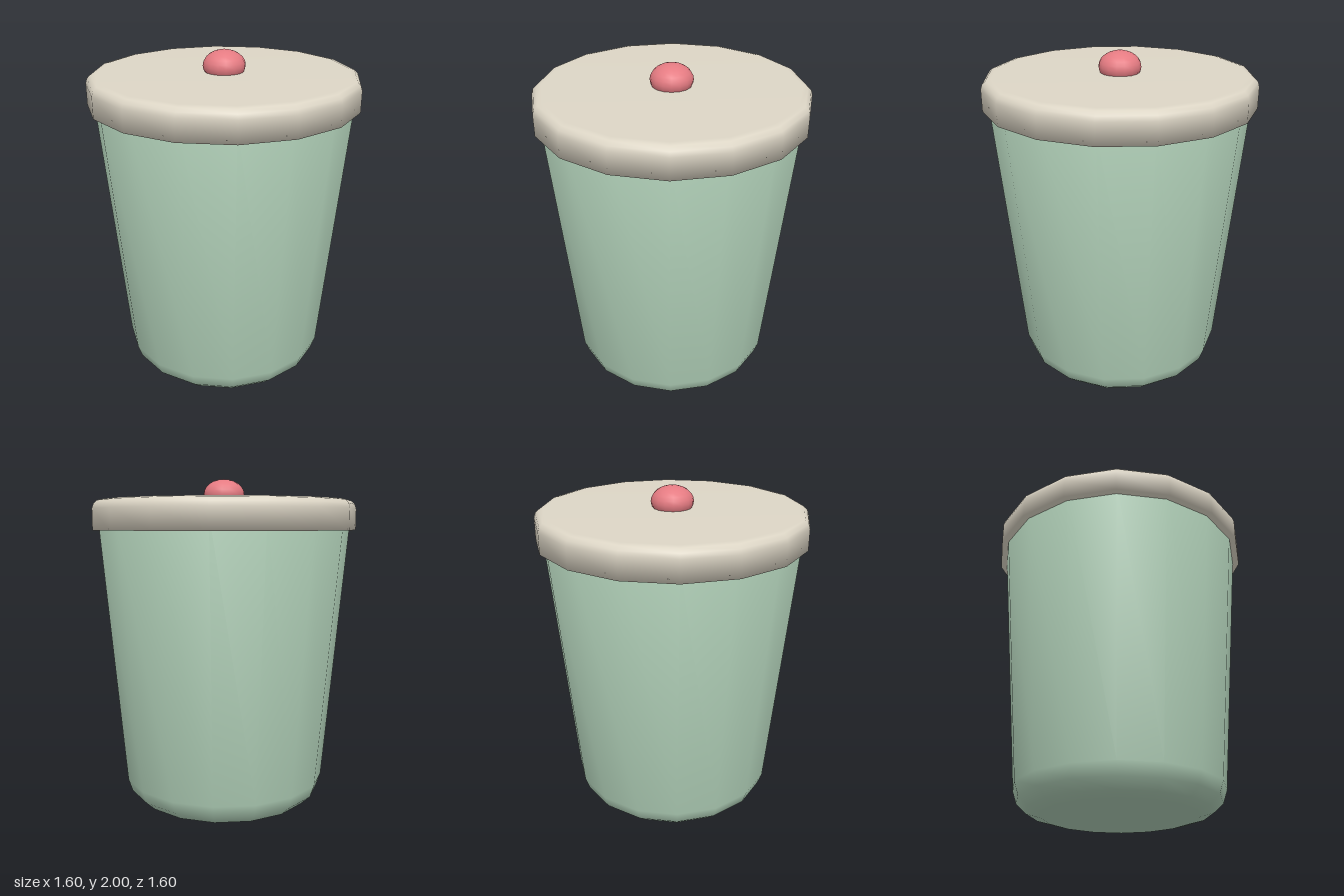
import * as THREE from 'three';
import { mergeVertices } from 'three/addons/utils/BufferGeometryUtils.js';

const SIDES = 16;

// Turned solid with fully smooth, area-weighted normals; profile runs bottom to top
function turned(name, profile, material) {
  const lathe = new THREE.LatheGeometry(profile.map(([r, y]) => new THREE.Vector2(r, y)), SIDES);
  lathe.deleteAttribute('normal');
  lathe.deleteAttribute('uv');
  const geometry = mergeVertices(lathe, 1e-4);
  geometry.computeVertexNormals();
  const mesh = new THREE.Mesh(geometry, material);
  mesh.name = name;
  return mesh;
}

function flat(name, color) {
  const material = new THREE.MeshStandardMaterial({ color });
  material.name = name;
  return material;
}

export function createModel() {
  const group = new THREE.Group();
  group.name = 'liddedJar';
  const green = flat('sage green', 0xa8c6af);
  const cream = flat('warm cream', 0xdcd5c5);
  const pink = flat('coral pink', 0xe57b82);

  // Tapered body with a rounded foot, its top tucked into the lid
  group.add(turned('body', [
    [0, 0], [0.45, 0], [0.54, 0.026], [0.598, 0.08], [0.623, 0.155],
    [0.768, 1.78], [0, 1.78],
  ], green));

  // Solid lid with a rounded upper edge
  group.add(turned('lid', [
    [0, 1.695], [0.8, 1.695], [0.8, 1.82], [0.791, 1.848],
    [0.77, 1.868], [0.74, 1.875], [0, 1.875],
  ], cream));

  // Squashed ball knob sunk into the lid
  const knob = new THREE.Mesh(new THREE.SphereGeometry(0.125, SIDES, 12), pink);
  knob.name = 'knob';
  knob.scale.y = 0.72;
  knob.position.y = 1.91;
  group.add(knob);

  return group;
}
